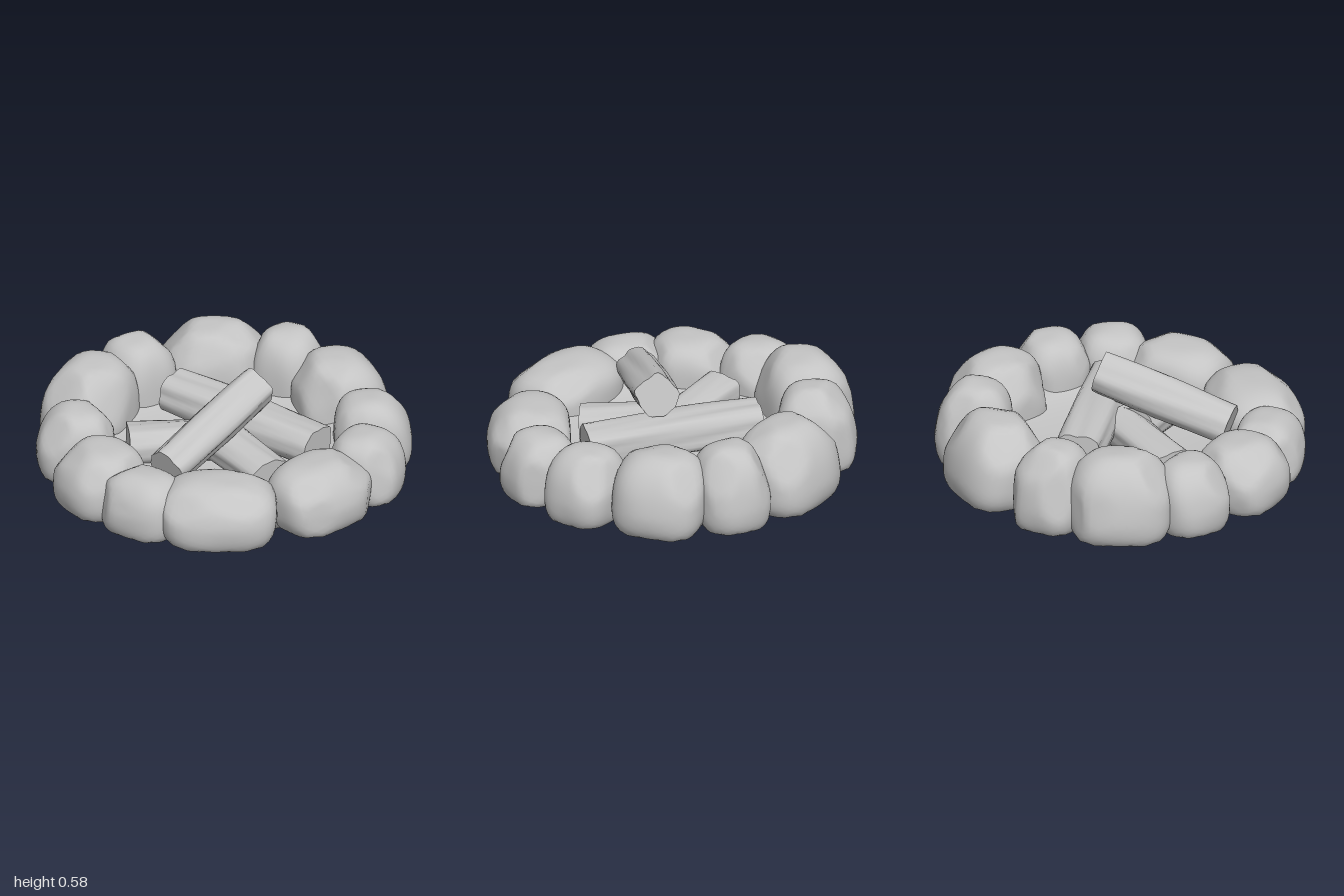
import * as THREE from 'three';
import { mergeVertices } from 'three/addons/utils/BufferGeometryUtils.js';

const stoneGrey = new THREE.MeshStandardMaterial({ color: 0xc4c4c4 });
stoneGrey.name = 'stone grey';

function seeded(seed) {
  let s = seed * 7919 + 17;
  return () => (s = (s * 16807) % 2147483647) / 2147483647;
}

// Worn boulder: blocky ellipsoid shaved by a few planes, flat base, outer face (+z) leaning in
function stoneGeometry(width, depth, height, seed) {
  const random = seeded(seed);
  for (let i = 0; i < 5; i++) random();
  let geo = new THREE.IcosahedronGeometry(1, 7);
  geo.deleteAttribute('normal');
  geo.deleteAttribute('uv');
  geo = mergeVertices(geo, 1e-4);
  const cuts = Array.from({ length: 9 }, () => ({
    normal: new THREE.Vector3(random() * 2 - 1, random() * 1.1 - 0.2, random() * 2 - 1).normalize(),
    limit: 0.98 + random() * 0.12,
  }));
  const phase = random() * 6;
  const waist = 0.14;
  const p = geo.attributes.position;
  const v = new THREE.Vector3();
  for (let i = 0; i < p.count; i++) {
    v.fromBufferAttribute(p, i);
    const e = 2.9;
    const norm = (Math.abs(v.x) ** e + Math.abs(v.y) ** e + Math.abs(v.z) ** e) ** (1 / e);
    v.divideScalar(norm);
    for (const { normal, limit } of cuts) {
      const over = v.dot(normal) - limit;
      if (over > 0) v.addScaledVector(normal, -over * 0.85);
    }
    v.multiplyScalar(1 + 0.015 * Math.sin(v.x * 4 + phase) * Math.cos(v.z * 5 + v.y * 3 + phase));
    const outer = Math.max(0, v.z), upper = Math.max(0, v.y);
    const y = waist + v.y * (v.y > 0 ? (height - waist) * (1 - 0.12 * outer * outer) : 0.2);
    p.setXYZ(i, v.x * width / 2, Math.max(0, y), (v.z - 0.15 * outer * upper) * depth / 2);
  }
  geo.computeVertexNormals();
  return geo;
}

// Split log: rounded square section with long bark grooves and flat ends
function makeLog(name, from, to, width, thick, roll, seed) {
  const a = new THREE.Vector3(...from), b = new THREE.Vector3(...to);
  const length = a.distanceTo(b);
  const geo = new THREE.CylinderGeometry(1, 1, length, 36, 12);
  const p = geo.attributes.position;
  for (let i = 0; i < p.count; i++) {
    const x = p.getX(i), y = p.getY(i), z = p.getZ(i);
    if (Math.hypot(x, z) < 0.01) continue;
    const t = Math.atan2(x, z);
    let r = (Math.abs(x) ** 3 + Math.abs(z) ** 3) ** (-1 / 3);
    r *= 1 + 0.04 * Math.sin(5 * t + seed + 2 * y) + 0.03 * Math.sin(9 * t + seed * 2 + 6 * y);
    r *= 1 + 0.04 * Math.sin(y * 6 + seed);
    p.setXYZ(i, x * r * width / 2, y, z * r * thick / 2);
  }
  geo.rotateY(roll);
  geo.computeVertexNormals();
  const mesh = new THREE.Mesh(geo, stoneGrey);
  mesh.name = name;
  // Local y runs along the log, local z points down
  const along = b.clone().sub(a).normalize();
  const side = new THREE.Vector3().crossVectors(along, new THREE.Vector3(0, -1, 0)).normalize();
  const down = new THREE.Vector3().crossVectors(side, along);
  mesh.quaternion.setFromRotationMatrix(new THREE.Matrix4().makeBasis(side, along, down));
  mesh.position.copy(a).add(b).multiplyScalar(0.5);
  return mesh;
}

export function createModel() {
  const model = new THREE.Group();
  model.name = 'firePit';

  // Ring of stones: x, z, width along the ring, depth, height, extra turn
  const stones = [
    [0.11, -0.76, 0.57, 0.48, 0.45, 0],
    [0.49, -0.62, 0.39, 0.42, 0.45, 0],
    [0.70, -0.31, 0.50, 0.49, 0.425, -0.25],
    [0.79, 0.10, 0.39, 0.42, 0.39, 0],
    [0.69, 0.44, 0.38, 0.39, 0.36, 0],
    [0.38, 0.66, 0.57, 0.45, 0.34, 0],
    [-0.19, 0.74, 0.63, 0.48, 0.335, 0],
    [-0.57, 0.57, 0.44, 0.37, 0.325, 0],
    [-0.74, 0.27, 0.46, 0.46, 0.35, 0],
    [-0.79, -0.12, 0.39, 0.42, 0.38, 0],
    [-0.64, -0.47, 0.55, 0.48, 0.46, 0],
    [-0.34, -0.70, 0.39, 0.43, 0.455, 0],
  ];
  const ring = new THREE.Group();
  ring.name = 'stoneRing';
  stones.forEach(([x, z, width, depth, height, turn], i) => {
    const stone = new THREE.Mesh(stoneGeometry(width, depth, height, i + 3), stoneGrey);
    stone.name = 'stone' + (i + 1);
    stone.position.set(x, 0, z);
    stone.rotation.y = Math.atan2(x, z) + turn;
    ring.add(stone);
  });
  model.add(ring);

  // Ash bed: flat underneath, a shallow bowl rising to the stones
  const profile = [[0, 0.004], [0.76, 0.004], [0.78, 0.12], [0.7, 0.18], [0.58, 0.13], [0.45, 0.1], [0.25, 0.09], [0, 0.09]];
  const bed = new THREE.Mesh(
    new THREE.LatheGeometry(profile.map(([r, y]) => new THREE.Vector2(r, y)), 48), stoneGrey);
  bed.name = 'ashBed';
  model.add(bed);

  // Stacked logs
  const logs = new THREE.Group();
  logs.name = 'logs';
  logs.add(
    makeLog('topLog', [-0.41, 0.25, 0.42], [0.18, 0.455, -0.01], 0.21, 0.22, 0.6, 1),
    makeLog('longLog', [-0.19, 0.25, -0.43], [0.45, 0.21, 0.28], 0.25, 0.21, 0, 2.3),
    makeLog('leftLog', [-0.52, 0.17, -0.03], [0.06, 0.18, 0.03], 0.23, 0.2, 0, 3.7),
    makeLog('frontLog', [0.15, 0.16, 0.47], [-0.03, 0.19, 0.06], 0.24, 0.2, 0, 5.1));
  model.add(logs);

  return model;
}
